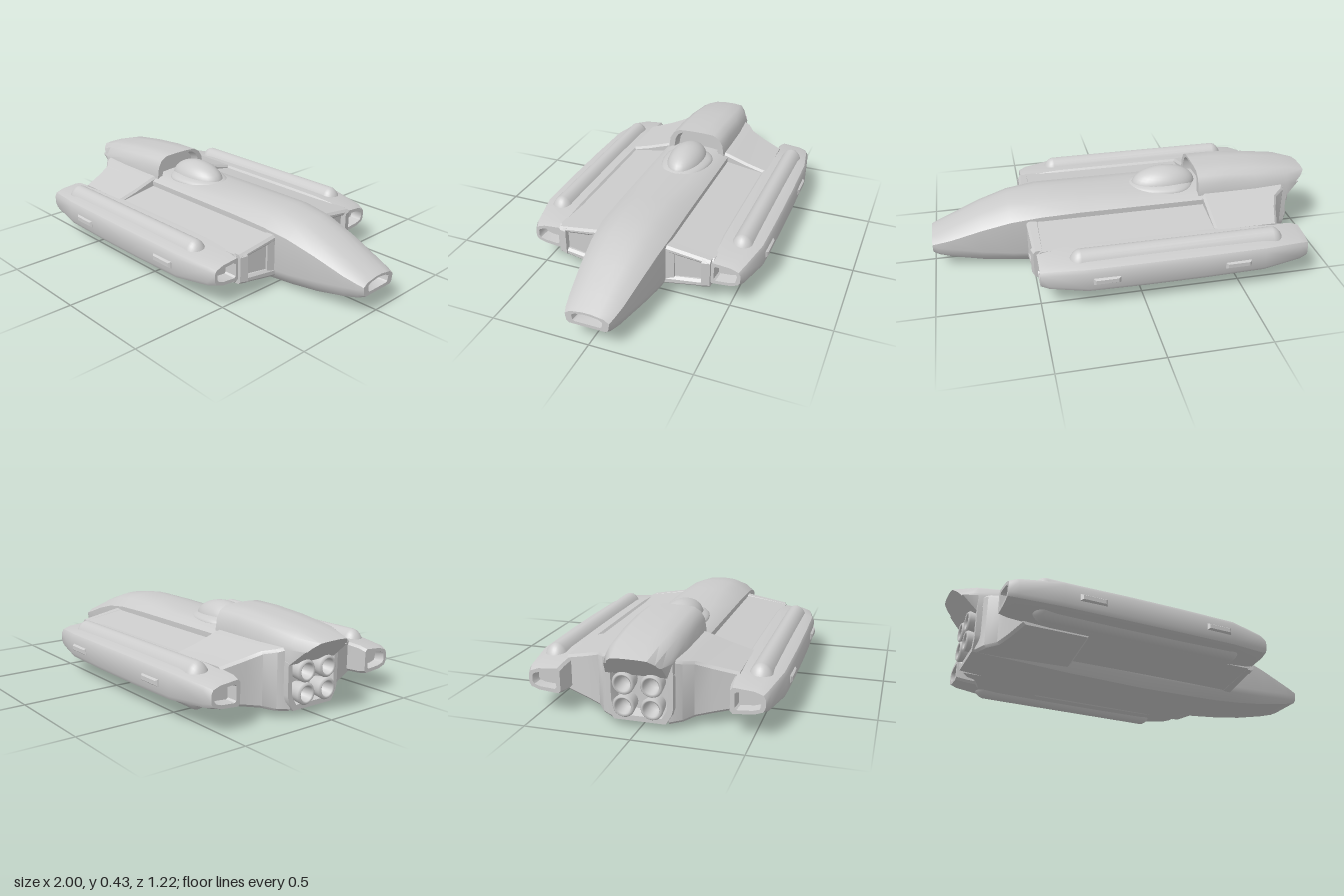
import * as THREE from 'three';
import { toCreasedNormals } from 'three/addons/utils/BufferGeometryUtils.js';

const material = new THREE.MeshStandardMaterial({ color: 0xcccccc });

function addMesh(parent, name, geometry) {
  const mesh = new THREE.Mesh(geometry, material);
  mesh.name = name;
  parent.add(mesh);
  return mesh;
}

// Skin a list of rings (arrays of [x, y, z]), cap both ends and face outward.
function loft(rings, crease = 0.6) {
  const n = rings[0].length;
  const pos = rings.flat(2);
  const idx = [];
  for (let i = 0; i < rings.length - 1; i++) {
    for (let j = 0; j < n; j++) {
      const a = i * n + j, b = i * n + (j + 1) % n;
      idx.push(a, b, a + n, b, b + n, a + n);
    }
  }
  [0, rings.length - 1].forEach((r, end) => {
    const c = pos.length / 3;
    for (let k = 0; k < 3; k++) pos.push(rings[r].reduce((s, p) => s + p[k], 0) / n);
    for (let j = 0; j < n; j++) {
      const a = r * n + j, b = r * n + (j + 1) % n;
      idx.push(c, end ? a : b, end ? b : a);
    }
  });
  // A negative enclosed volume means the winding must be reversed
  const v = (i) => new THREE.Vector3().fromArray(pos, i * 3);
  let volume = 0;
  for (let i = 0; i < idx.length; i += 3) volume += v(idx[i]).dot(v(idx[i + 1]).cross(v(idx[i + 2])));
  if (volume < 0) idx.reverse();
  const g = new THREE.BufferGeometry();
  g.setAttribute('position', new THREE.Float32BufferAttribute(pos, 3));
  g.setIndex(idx);
  return toCreasedNormals(g, crease);
}

// Rings that sink an opening into the end of a loft.
function recess(ring, sy, sz, depth) {
  const mid = [1, 2].map((k) => ring.reduce((s, p) => s + p[k], 0) / ring.length);
  const inset = (f, dx) => ring.map(([x, y, z]) =>
    [x + dx, mid[0] + (y - mid[0]) * f * sy, mid[1] + (z - mid[1]) * f * sz]);
  return [inset(1, 0), inset(0.88, depth)];
}

// Mirror half a cross-section of [z, y] points to a closed ring at x.
function mirrorRing(x, half) {
  const side = (s) => half.map(([z, y]) => [x, y, z * s]);
  return [...side(1), ...side(-1).reverse()];
}

function buildHull(parent) {
  // x, bottom y, bottom half width, low corner y, half width, high corner y, top half width, top y
  const stations = [
    [-0.88, 0.035, 0.12, 0.08, 0.155, 0.26, 0.1, 0.31],
    [-0.7, 0.025, 0.13, 0.07, 0.175, 0.29, 0.12, 0.33],
    [-0.4, 0.01, 0.135, 0.06, 0.185, 0.3, 0.13, 0.335],
    [0, 0.002, 0.135, 0.05, 0.185, 0.3, 0.12, 0.342],
    [0.25, 0.005, 0.135, 0.05, 0.185, 0.3, 0.1, 0.355],
    [0.45, 0.012, 0.13, 0.055, 0.185, 0.295, 0.1, 0.358],
    [0.6, 0.025, 0.125, 0.065, 0.173, 0.275, 0.095, 0.34],
    [0.75, 0.045, 0.12, 0.08, 0.155, 0.235, 0.09, 0.29],
    [0.9, 0.075, 0.11, 0.1, 0.133, 0.185, 0.08, 0.225],
    [0.97, 0.092, 0.1, 0.108, 0.118, 0.165, 0.075, 0.195],
    [1, 0.105, 0.09, 0.115, 0.108, 0.155, 0.07, 0.182],
  ];
  const rings = stations.map(([x, yb, wb, yl, wm, yh, wt, yt]) => mirrorRing(x, [
    [wb, yb], [wm * 0.95, yl], [wm, yl + 0.03], [wm, yh],
    [wm * 0.35 + wt * 0.65, yh * 0.35 + yt * 0.65], [wt * 0.75, yt - 0.005], [wt * 0.3, yt]]));
  rings.push(...recess(rings.at(-1), 0.65, 0.7, -0.05));
  rings.unshift(...recess(rings[0], 0.85, 0.85, 0.05).reverse());
  addMesh(parent, 'hull', loft(rings, 0.7));
}

function buildEngineHood(parent) {
  const rings = [[-0.38, 0.435, 0.165], [-0.52, 0.434, 0.166], [-0.7, 0.42, 0.165],
    [-0.88, 0.398, 0.155], [-1, 0.365, 0.13]].map(([x, top, w], i) => {
    const half = [[w, 0.25], [w, 0.32], [w * 0.95, top - 0.06], [w * 0.83, top - 0.025],
      [w * 0.62, top - 0.004], [w * 0.25, top]];
    // The rear face rakes forward toward its lower edge
    return mirrorRing(x, half).map(([px, y, z]) => [i === 4 ? px + (top - y) * 1.05 : px, y, z]);
  });
  rings.unshift(...recess(rings[0], 0.82, 0.8, -0.04).reverse());
  addMesh(parent, 'engineHood', loft(rings, 0.7));
}

function buildCanopy(parent) {
  // Teardrop dome and its low fairing, both longer toward the nose
  for (const [name, x, rx, ry, rz, y, stretch] of [
    ['canopy', -0.24, 0.16, 0.092, 0.1, 0.328, 1.15],
    ['canopyFairing', -0.26, 0.13, 0.04, 0.135, 0.325, 1.8]]) {
    const g = new THREE.SphereGeometry(1, 32, 20);
    const p = g.attributes.position;
    for (let i = 0; i < p.count; i++) if (p.getX(i) > 0) p.setX(i, p.getX(i) * stretch);
    g.scale(rx, ry, rz);
    g.computeVertexNormals();
    addMesh(parent, name, g).position.set(x, y, 0);
  }
}

function buildNozzles(parent) {
  const profile = [[0.001, -0.02], [0.03, -0.02], [0.036, 0.05], [0.044, 0.055],
    [0.052, 0.045], [0.046, 0], [0.04, -0.04]].map(([r, y]) => new THREE.Vector2(r, y));
  for (const y of [0.11, 0.215]) for (const s of [-1, 1]) {
    const g = new THREE.LatheGeometry(profile.slice().reverse(), 24);
    const nozzle = addMesh(parent, 'engineNozzle', g);
    nozzle.material = material.clone();
    nozzle.material.side = THREE.DoubleSide;
    nozzle.rotation.z = Math.PI / 2;
    nozzle.position.set(-0.855, y, s * 0.065);
  }
}

function buildWing(parent, s) {
  // Section in x and y at one z
  const section = (z, back, front, yb, yt) => {
    const e = 0.012;
    return [[back, yb + e], [back + e, yb], [front - e, yb], [front, yb + e],
      [front, yt - e], [front - e, yt], [back + e, yt], [back, yt - e]].map(([x, y]) => [x, y, z * s]);
  };
  addMesh(parent, 'wing', loft([
    section(0.15, -0.5, 0.51, 0.055, 0.278), section(0.41, -0.5, 0.49, 0.09, 0.238)]));
  // Thicker aft wing with a swept trailing edge
  addMesh(parent, 'aftWing', loft([
    section(0.13, -0.87, -0.4, 0.03, 0.33), section(0.185, -0.84, -0.4, 0.036, 0.318),
    section(0.225, -0.79, -0.4, 0.044, 0.305), section(0.3, -0.76, -0.4, 0.057, 0.28),
    section(0.41, -0.725, -0.4, 0.077, 0.25)]));
  // Raised frame around the leading edge panel: top, bottom, inner and outer bars
  const bar = (z0, b0, t0, z1, b1, t1) => addMesh(parent, 'leadingEdgeFrame', loft([
    section(z0, 0.46, 0.525, b0, t0), section(z1, 0.46, 0.515, b1, t1)]));
  bar(0.17, 0.24, 0.278, 0.4, 0.21, 0.24);
  bar(0.17, 0.055, 0.1, 0.4, 0.088, 0.125);
  bar(0.17, 0.06, 0.27, 0.22, 0.065, 0.265);
  bar(0.36, 0.085, 0.24, 0.4, 0.09, 0.238);
}

function buildPod(parent, s) {
  const pod = new THREE.Group();
  pod.name = s > 0 ? 'rightPod' : 'leftPod';
  parent.add(pod);
  // x, inner z, outer z, bottom y, top y
  const rings = [
    [-0.84, 0.395, 0.55, 0.105, 0.225], [-0.8, 0.39, 0.565, 0.098, 0.236],
    [-0.6, 0.385, 0.598, 0.085, 0.25], [-0.3, 0.385, 0.603, 0.083, 0.252],
    [0, 0.385, 0.603, 0.083, 0.252], [0.28, 0.385, 0.598, 0.085, 0.25],
    [0.46, 0.388, 0.56, 0.098, 0.236], [0.5, 0.395, 0.545, 0.108, 0.225],
  ].map(([x, zi, zo, yb, yt]) => [
    [zi, yt - 0.012], [zi + 0.012, yt], [zo - 0.05, yt - 0.008], [zo - 0.01, yt - 0.022],
    [zo, yt - 0.04], [zo, yb + 0.04], [zo - 0.01, yb + 0.022], [zo - 0.05, yb + 0.008],
    [zi + 0.012, yb], [zi, yb + 0.012]].map(([z, y]) => [x, y, z * s]));
  rings.unshift(...recess(rings[0], 0.68, 0.76, 0.05).reverse());
  rings.push(...recess(rings.at(-1), 0.68, 0.76, -0.06));
  addMesh(pod, 'podBody', loft(rings));

  // Long rounded tank standing out above and below
  const tank = new THREE.CapsuleGeometry(0.065, 0.96, 12, 32);
  tank.rotateZ(Math.PI / 2);
  tank.scale(1, 1.7, 1);
  addMesh(pod, 'podTank', tank).position.set(-0.18, 0.172, s * 0.493);

  // Small chamfered pads on the outer side
  for (const x of [-0.46, 0.19]) {
    const pad = (z, w, h) => [[x - w, 0.165 - h, z * s], [x + w, 0.165 - h, z * s],
      [x + w, 0.165 + h, z * s], [x - w, 0.165 + h, z * s]];
    addMesh(pod, 'sidePad', loft([pad(0.585, 0.07, 0.02), pad(0.603, 0.065, 0.016), pad(0.611, 0.055, 0.01)]));
  }
}

export function createModel() {
  const model = new THREE.Group();
  model.name = 'spacecraft';
  buildHull(model);
  buildEngineHood(model);
  buildCanopy(model);
  buildNozzles(model);
  for (const s of [1, -1]) {
    buildWing(model, s);
    buildPod(model, s);
  }
  return model;
}
